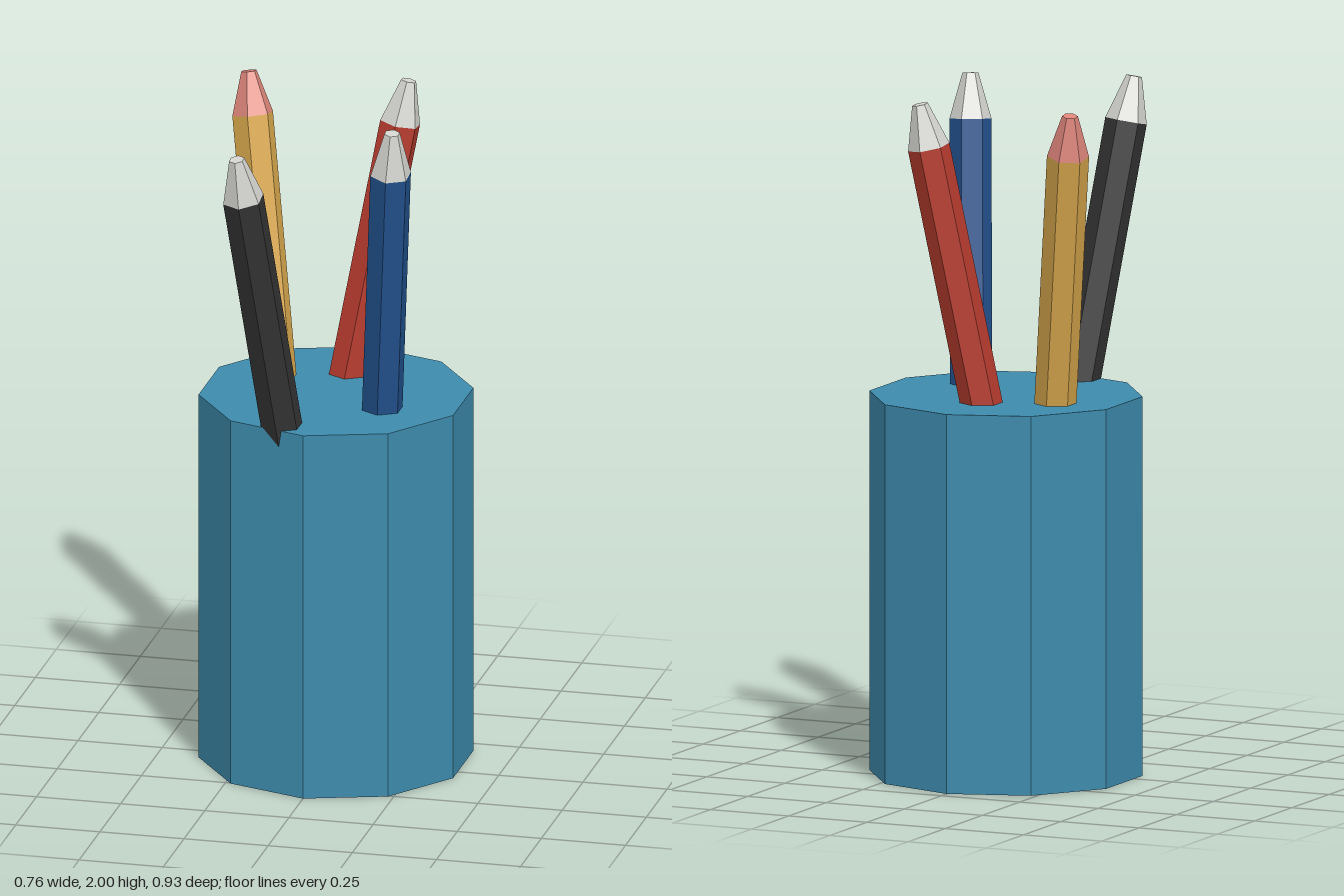
import * as THREE from 'three';

const mat = (name, color) => {
  const m = new THREE.MeshStandardMaterial({ color });
  m.name = name;
  m.flatShading = true;
  return m;
};

const UP = new THREE.Vector3(0, 1, 0);
const BODY_RADIUS = 0.061;
const TIP_RADIUS = 0.023;
const FOOT_Y = 0.15;

export function createModel() {
  const model = new THREE.Group();
  model.name = 'pencilCup';

  const teal = mat('cup teal', 0x3d8bad);
  const silver = mat('pale tip', 0xd4d4d0);
  const pink = mat('pink eraser', 0xdd857a);
  const yellow = mat('yellow paint', 0xdaa94d);
  const red = mat('red paint', 0xb83c2e);
  const blue = mat('blue paint', 0x22528e);
  const black = mat('black paint', 0x343434);

  // Ten-sided cup with a closed top
  const cup = new THREE.Mesh(new THREE.CylinderGeometry(0.3975, 0.3975, 1.11, 10), teal);
  cup.name = 'cup';
  cup.position.set(0, 0.555, -0.067);
  model.add(cup);

  // Six-sided pencil: axis point at the rim, shoulder point, and tip length
  const addPencil = (name, rim, shoulder, tipLength, paint, tipMaterial) => {
    const top = new THREE.Vector3(...shoulder);
    const axis = top.clone().sub(new THREE.Vector3(...rim)).normalize();
    const length = (top.y - FOOT_Y) / axis.y;

    const pencil = new THREE.Group();
    pencil.name = name;
    pencil.position.copy(top);
    pencil.quaternion.setFromUnitVectors(UP, axis);

    const body = new THREE.Mesh(
      new THREE.CylinderGeometry(BODY_RADIUS, BODY_RADIUS, length, 6), paint);
    body.name = name + 'Body';
    body.position.y = -length / 2;

    const tip = new THREE.Mesh(
      new THREE.CylinderGeometry(TIP_RADIUS, BODY_RADIUS, tipLength, 6), tipMaterial);
    tip.name = name + 'Tip';
    tip.position.y = tipLength / 2;

    pencil.add(body, tip);
    model.add(pencil);
  };

  addPencil('yellowPencil', [-0.2, 1.11, -0.155], [-0.301, 1.86, -0.283], 0.125, yellow, pink);
  addPencil('blackPencil', [-0.083, 1.11, 0.253], [-0.159, 1.847, 0.405], 0.132, black, silver);
  addPencil('redPencil', [-0.001, 1.11, -0.235], [0.13, 1.86, -0.312], 0.128, red, silver);
  addPencil('bluePencil', [0.165, 1.11, 0.045], [0.215, 1.866, 0.147], 0.133, blue, silver);

  return model;
}
